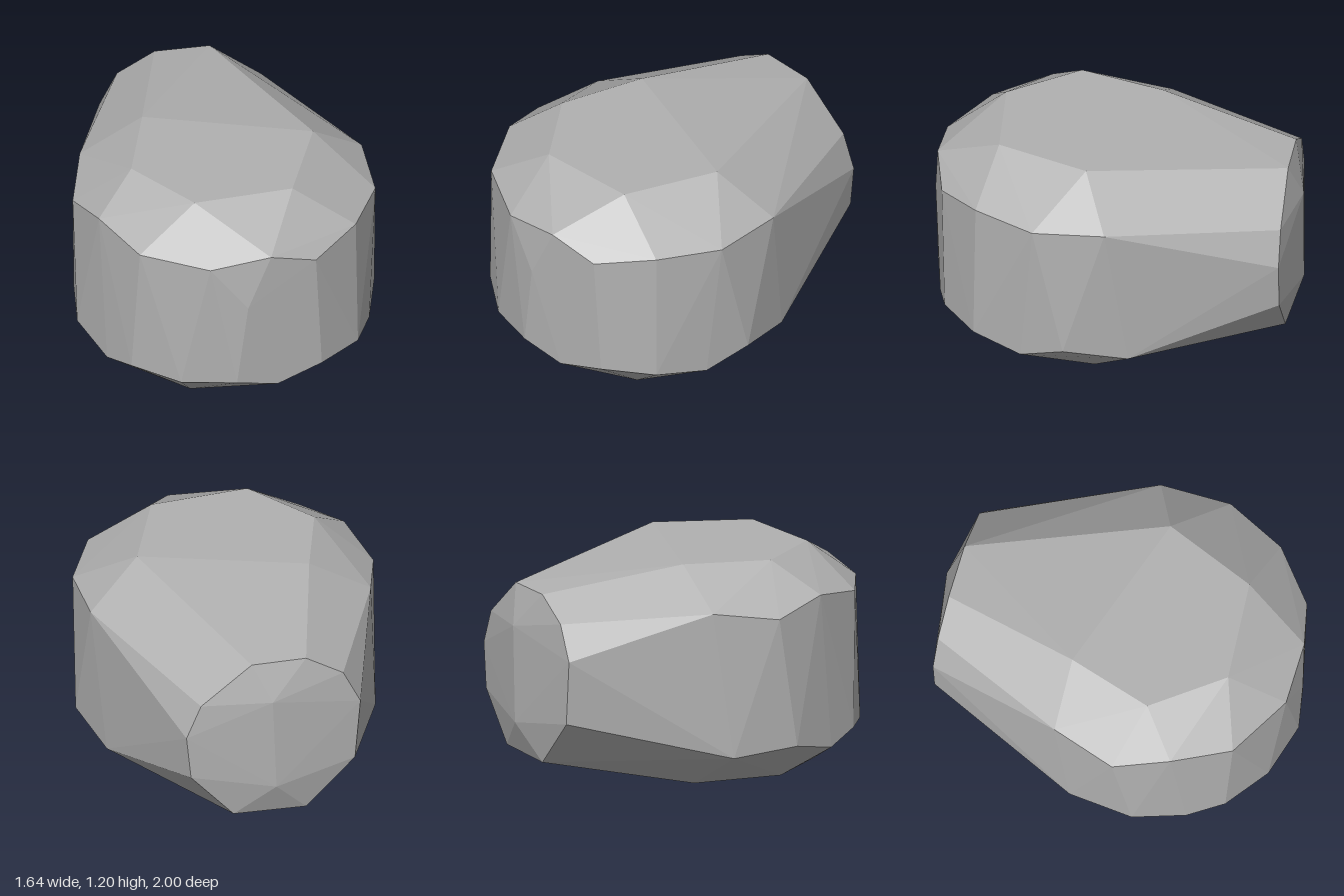
import * as THREE from 'three';
import { ConvexGeometry } from 'three/addons/geometries/ConvexGeometry.js';

export function createModel() {
  const model = new THREE.Group();
  model.name = 'boulder';

  const stone = new THREE.MeshStandardMaterial({ color: 0xb0b0b0 });
  stone.name = 'stone grey';

  // Flat top facet (x, z)
  const top = [[0.5, 0.11], [0.3, 0.61], [-0.24, 0.65], [-0.52, 0.28], [-0.38, -0.18]];

  // Flat underside (x, z)
  const base = [[0.52, 0.06], [0.39, 0.6], [-0.27, 0.68], [-0.52, 0.34], [-0.45, -0.15], [0, -0.37]];

  // Upper shoulder (x, y, z)
  const shoulder = [
    [0.79, 0.975, -0.03], [0.795, 0.965, 0.36], [0.63, 0.98, 0.69], [0.375, 0.93, 0.91], [0.12, 1.02, 0.97],
    [-0.21, 0.97, 0.965], [-0.56, 0.98, 0.77], [-0.73, 1.03, 0.47], [-0.82, 0.95, 0.17], [-0.72, 1.0, -0.18],
  ];

  // Lower shoulder and the bulge on the front (x, y, z)
  const foot = [
    [0.73, 0.18, -0.15], [0.82, 0.25, 0.19], [0.75, 0.17, 0.43], [0.64, 0.22, 0.7], [0.41, 0.235, 0.89],
    [0.16, 0.17, 0.95], [-0.07, 0.235, 0.995], [-0.36, 0.215, 0.91], [-0.6, 0.235, 0.74],
    [-0.7, 0.17, 0.55], [-0.815, 0.235, 0.28], [-0.77, 0.2, -0.08], [-0.01, 0.72, 1.0],
  ];

  // Narrow rear rim (x, y) and the ridge behind it
  const rear = [
    [0.4, 0.86], [0.12, 1.08], [-0.18, 1.08], [-0.385, 0.96], [-0.48, 0.77],
    [-0.45, 0.42], [-0.18, 0.15], [0.22, 0.16], [0.455, 0.42], [0.48, 0.67],
  ];
  const ridge = [[0.02, 0.87, -1], [0, 0.34, -1]];

  const corners = [
    ...top.map(([x, z]) => [x, 1.2, z]),
    ...base.map(([x, z]) => [x, 0, z]),
    ...rear.map(([x, y]) => [x, y, -0.93]),
    ...shoulder, ...foot, ...ridge,
  ].map((p) => new THREE.Vector3(...p));

  // Faceted stone: the hull has one normal per face
  const rock = new THREE.Mesh(new ConvexGeometry(corners), stone);
  rock.name = 'rock';
  model.add(rock);
  return model;
}
